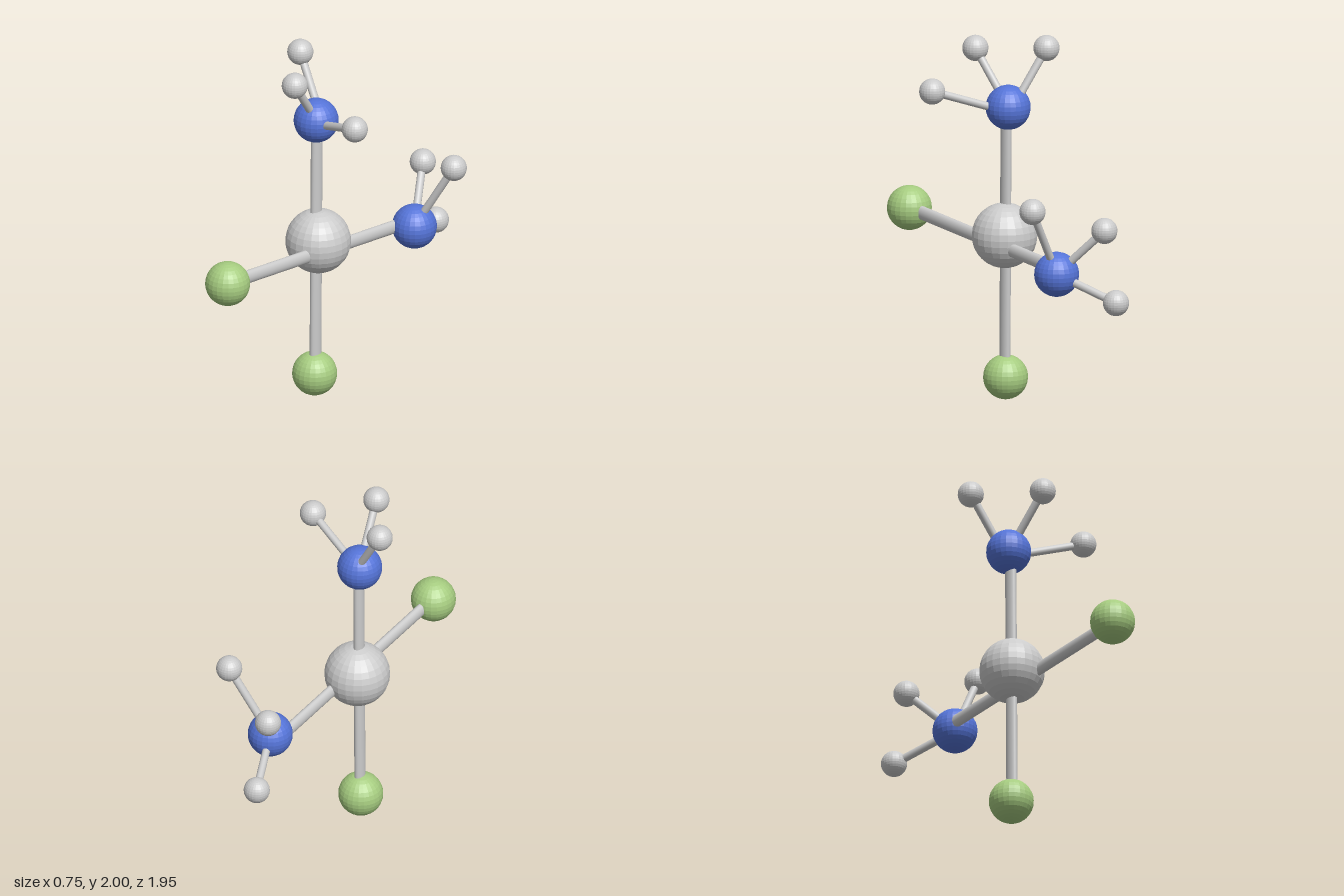
import * as THREE from 'three';

const grey = new THREE.MeshStandardMaterial({ color: 0xcccccc, flatShading: true });
const blue = new THREE.MeshStandardMaterial({ color: 0x5574d8, flatShading: true });
const green = new THREE.MeshStandardMaterial({ color: 0xa6cc80, flatShading: true });
const rodGrey = new THREE.MeshStandardMaterial({ color: 0xcccccc });

export function createModel() {
  const model = new THREE.Group();
  model.name = 'moleculeModel';

  // faceted ball
  function ball(name, pos, radius, material) {
    const mesh = new THREE.Mesh(new THREE.SphereGeometry(radius, 24, 16), material);
    mesh.name = name;
    mesh.position.set(...pos);
    model.add(mesh);
  }

  // rod between two points; rx is its half width across x, rw the other half width
  function rod(name, from, to, rx, rw) {
    const a = new THREE.Vector3(...from), b = new THREE.Vector3(...to);
    const axis = b.clone().sub(a);
    const geometry = new THREE.CylinderGeometry(1, 1, axis.length(), 20);
    geometry.scale(rx, 1, rw);
    const up = axis.normalize();
    const side = new THREE.Vector3(1, 0, 0).addScaledVector(up, -up.x).normalize();
    const mesh = new THREE.Mesh(geometry, rodGrey);
    mesh.quaternion.setFromRotationMatrix(
      new THREE.Matrix4().makeBasis(side, up, side.clone().cross(up)));
    mesh.position.copy(a).add(b).multiplyScalar(0.5);
    mesh.name = name;
    model.add(mesh);
  }

  // centre and its four neighbours
  const top = [-0.11, 1.615, 0.063], back = [0.023, 0.82, -0.571];
  const bottom = [-0.105, 0.125, 0.08], front = [-0.022, 0.935, 0.855];
  ball('centreBall', [-0.09, 0.91, 0.068], 0.178, grey);
  ball('topBall', top, 0.122, blue);
  ball('backBall', back, 0.122, blue);
  ball('bottomBall', bottom, 0.122, green);
  ball('frontBall', front, 0.122, green);

  // oval main rods running through the centre
  rod('uprightRod', [-0.1, 0.125, 0.08], [-0.1, 1.615, 0.068], 0.025, 0.038);
  rod('levelRod', [-0.02, 0.935, 0.855], [-0.04, 0.82, -0.571], 0.025, 0.038);

  // small outer balls, each with a thin rod to its hub
  const outer = [
    ['topLeftSmall', [0.3, 1.73, 0.195], [-0.11, 1.59, 0.063]],
    ['topFrontSmall', [-0.055, 1.91, 0.29], top],
    ['topRightSmall', [-0.305, 1.932, -0.02], [-0.11, 1.615, 0.025]],
    ['backLeftSmall', [0.24, 1.205, -0.65], back],
    ['backUpperSmall', [-0.13, 1.08, -0.8], back],
    ['backLowerSmall', [-0.132, 0.7, -0.905], back],
  ];
  for (const [name, pos, hub] of outer) {
    ball(name + 'Ball', pos, 0.071, grey);
    rod(name + 'Rod', pos, hub, 0.021, 0.023);
  }
  return model;
}
